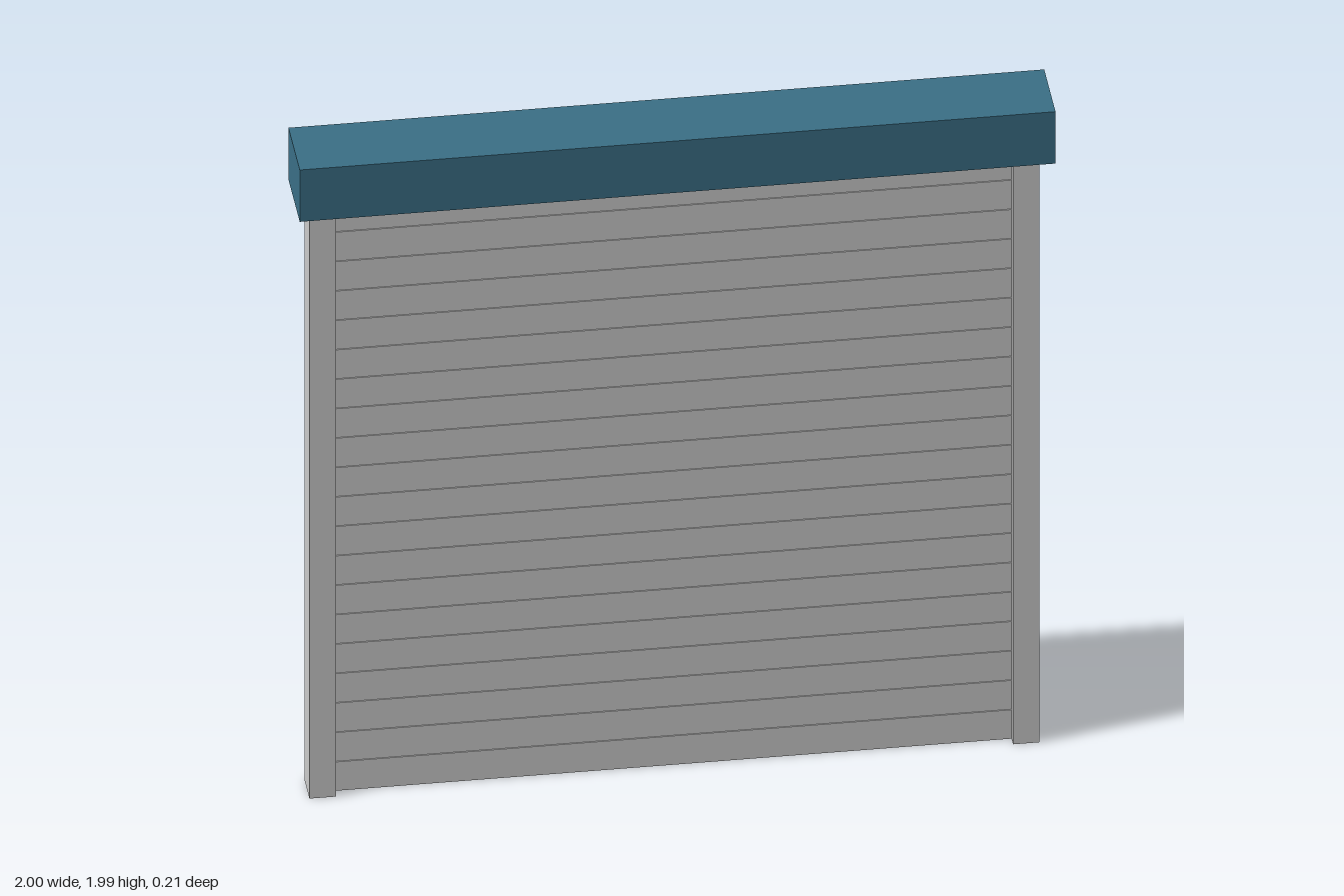
import * as THREE from 'three';

export function createModel() {
  const group = new THREE.Group();
  const metal = new THREE.MeshStandardMaterial({ color: 0xcccccc });
  const paint = new THREE.MeshStandardMaterial({ color: 0x3a6f86 });

  // box given by its size and the height of its underside
  const addBox = (name, w, h, d, x, bottom, material) => {
    const mesh = new THREE.Mesh(new THREE.BoxGeometry(w, h, d), material);
    mesh.name = name;
    mesh.position.set(x, bottom + h / 2, 0);
    group.add(mesh);
  };

  const headY = 1.831;

  // housing for the rolled-up curtain
  addBox('headBox', 2, 0.161, 0.208, 0, headY, paint);

  // guide rails at both sides
  for (const [name, side] of [['leftGuideRail', 1], ['rightGuideRail', -1]]) {
    addBox(name, 0.07, headY, 0.092, side * 0.931, 0, metal);
  }

  // curtain of horizontal slats with hairline gaps, running between the rails
  const slats = 20, pitch = 0.0914, gap = 0.002;
  for (let i = 0; i < slats; i++) {
    addBox(`slat${i + 1}`, 1.794, pitch - gap, 0.036, 0, i * pitch, metal);
  }

  return group;
}
